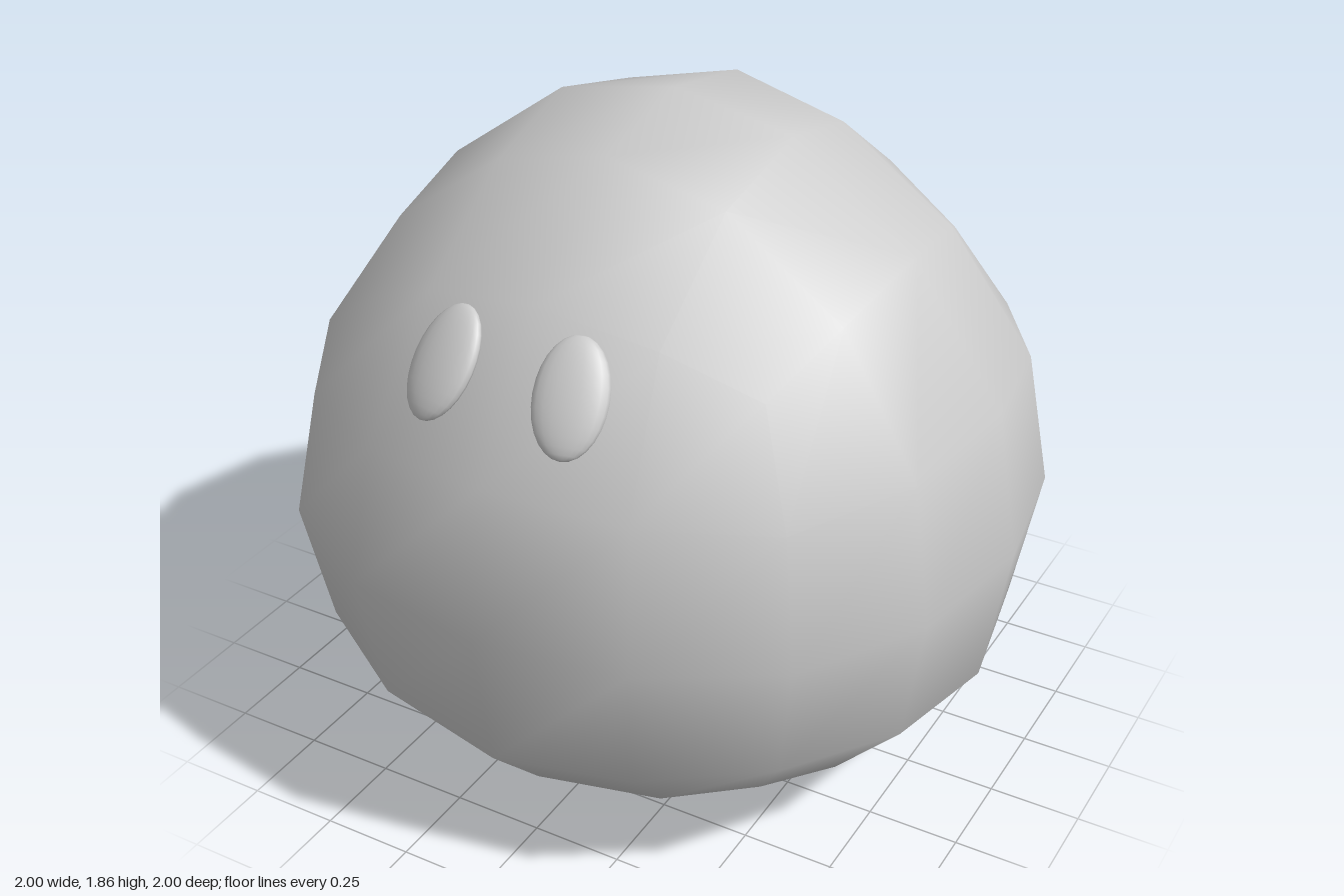
import * as THREE from 'three';
import { mergeVertices } from 'three/addons/utils/BufferGeometryUtils.js';

// Rounded-cube rule: grid position (sorted, 2 = face edge) -> value of the 2s and of the 1s
const ROUND = {
  '200': [1, 0], '210': [0.933, 0.4], '211': [0.87, 0.371],
  '220': [0.732, 0], '221': [0.682, 0.344], '222': [0.58, 0],
};

// Height profile: [rounded height, final height, width factor]
const UPPER = [[0, 0, 1], [0.4, 0.4, 1], [0.732, 0.77, 0.93], [0.933, 1.02, 0.84], [1, 1.085, 0.84]];
const LOWER = [[0, 0, 1], [0.4, 0.4, 1], [0.732, 0.605, 1], [0.933, 0.74, 1], [1, 0.77, 1]];

function sample(profile, h) {
  let i = 1;
  while (i < profile.length - 1 && h > profile[i][0]) i++;
  const a = profile[i - 1], b = profile[i];
  const t = (h - a[0]) / (b[0] - a[0]);
  return [a[1] + (b[1] - a[1]) * t, a[2] + (b[2] - a[2]) * t];
}

// Body: a 4x4x4 box rounded off, domed above and flattened below
function bodyGeometry() {
  let geo = new THREE.BoxGeometry(4, 4, 4, 4, 4, 4);
  geo.deleteAttribute('normal');
  geo.deleteAttribute('uv');
  geo = mergeVertices(geo);
  const pos = geo.attributes.position;
  for (let i = 0; i < pos.count; i++) {
    const p = [pos.getX(i), pos.getY(i), pos.getZ(i)].map(Math.round);
    const key = p.map(Math.abs).sort((a, b) => b - a).join('');
    const [two, one] = ROUND[key];
    const [x, y, z] = p.map(v => Math.sign(v) * (Math.abs(v) === 2 ? two : one));
    const [h, w] = sample(y > 0 ? UPPER : LOWER, Math.abs(y));
    pos.setXYZ(i, x * w, 0.77 + Math.sign(y) * h, z * w);
  }
  geo.computeVertexNormals();
  return geo;
}

export function createModel() {
  const group = new THREE.Group();
  const material = new THREE.MeshStandardMaterial({ color: 0xcccccc });

  const body = new THREE.Mesh(bodyGeometry(), material);
  body.name = 'body';
  group.add(body);

  // Eyes: flat ovals lying against the sloping front
  const eyeGeo = new THREE.SphereGeometry(1, 20, 14);
  for (const [name, x, yaw] of [['leftEye', 0.157, 0.23], ['rightEye', -0.2, -0.23]]) {
    const eye = new THREE.Mesh(eyeGeo, material);
    eye.name = name;
    eye.scale.set(0.095, 0.15, 0.035);
    eye.rotation.set(-0.63, yaw, 0, 'YXZ');
    eye.position.set(x, 1.377, 0.765);
    group.add(eye);
  }
  return group;
}
